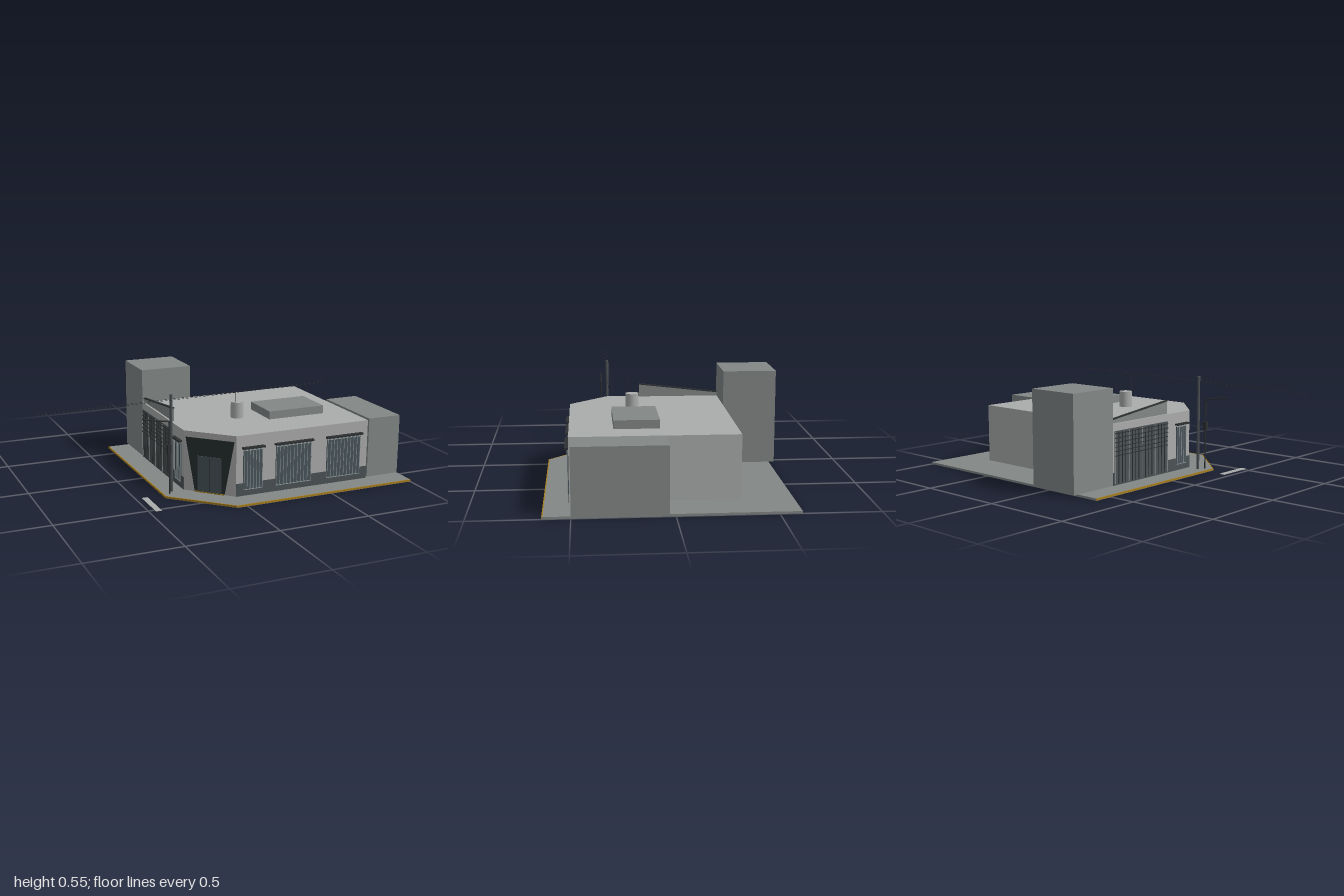
import * as THREE from 'three';

const paint = (name, color, side = THREE.FrontSide) => {
  const m = new THREE.MeshStandardMaterial({ color, side });
  m.name = name;
  return m;
};

export function createModel() {
  const concrete = paint('light concrete', 0xaaacab);
  const grey = paint('mid grey', 0x838887);
  const slate = paint('dark slate', 0x4c5255);
  const glass = paint('window glass', 0x48545a);
  const dark = paint('entrance dark', 0x262e2f, THREE.DoubleSide);
  const metal = paint('dark metal', 0x2e3132);
  const steel = paint('pale steel', 0x929b9d);
  const yellow = paint('curb yellow', 0xa57c1c);

  const model = new THREE.Group();
  model.name = 'cornerBuilding';

  const add = (parent, name, geo, mat, x = 0, y = 0, z = 0) => {
    const mesh = new THREE.Mesh(geo, mat);
    mesh.name = name;
    mesh.position.set(x, y, z);
    parent.add(mesh);
    return mesh;
  };
  // box given by its lower and upper limits on each axis
  const box = (parent, name, mat, x0, x1, y0, y1, z0, z1) =>
    add(parent, name, new THREE.BoxGeometry(x1 - x0, y1 - y0, z1 - z0), mat,
      (x0 + x1) / 2, (y0 + y1) / 2, (z0 + z1) / 2);
  // upright prism over an outline of [x, z] points
  const prism = (name, mat, pts, y0, y1) => {
    const shape = new THREE.Shape(pts.map(([x, z]) => new THREE.Vector2(x, -z)));
    const geo = new THREE.ExtrudeGeometry(shape, { depth: y1 - y0, bevelEnabled: false });
    geo.rotateX(-Math.PI / 2);
    return add(model, name, geo, mat, 0, y0, 0);
  };
  // thin rod between two points
  const rod = (parent, name, mat, a, b, r, sides = 8) => {
    const p = new THREE.Vector3(...a), q = new THREE.Vector3(...b);
    const d = q.clone().sub(p);
    const mesh = add(parent, name, new THREE.CylinderGeometry(r, r, d.length(), sides), mat);
    mesh.position.copy(p).add(q).multiplyScalar(0.5);
    mesh.quaternion.setFromUnitVectors(new THREE.Vector3(0, 1, 0), d.normalize());
    return mesh;
  };
  // group on a wall from a to b: local x runs along it, local z points outward
  const wall = (name, a, b) => {
    const g = new THREE.Group();
    g.name = name;
    g.position.set((a[0] + b[0]) / 2, 0, (a[1] + b[1]) / 2);
    g.rotation.y = Math.atan2(a[1] - b[1], b[0] - a[0]);
    g.userData.half = Math.hypot(b[0] - a[0], b[1] - a[1]) / 2;
    model.add(g);
    return g;
  };

  // pavement with painted street edges
  const walk = [[-0.35, -0.61], [-0.35, 0.36], [-0.06, 0.637], [1, 0.637], [1, -0.61]];
  prism('pavement', grey, walk, 0, 0.012);
  for (let i = 0; i < 3; i++) {
    const g = wall('curbEdge', walk[i], walk[i + 1]);
    const h = g.userData.half;
    box(g, 'curbStripe', yellow, -h, h, 0.002, 0.0122, -0.004, 0.002);
  }

  // main building and neighbouring blocks
  const plan = [[-0.22, -0.345], [-0.22, 0.3], [-0.01, 0.51], [0.787, 0.51], [0.787, -0.345]];
  prism('mainBuilding', concrete, plan, 0.012, 0.345);
  box(model, 'sideBlock', grey, 0.802, 1, 0.012, 0.349, 0.03, 0.5);
  box(model, 'rearTower', grey, -0.22, 0.082, 0.012, 0.536, -0.64, -0.345);

  // roof equipment
  box(model, 'roofUnit', grey, 0.295, 0.632, 0.345, 0.39, 0.05, 0.285);
  add(model, 'roofTank', new THREE.CylinderGeometry(0.036, 0.036, 0.09, 20), concrete, 0.153, 0.39, 0.168);
  rod(model, 'antenna', metal, [0.13, 0.345, 0.19], [0.13, 0.52, 0.19], 0.0012, 6);

  // sloping parapet above the left wall
  const gable = new THREE.Shape([[-0.11, 0.345], [0.345, 0.345], [0.345, 0.364], [-0.11, 0.416]]
    .map(([u, v]) => new THREE.Vector2(u, v)));
  const gableGeo = new THREE.ExtrudeGeometry(gable, { depth: 0.008, bevelEnabled: false });
  gableGeo.rotateY(Math.PI / 2);
  add(model, 'slopingParapet', gableGeo, grey, -0.209, 0, 0);
  const cap = add(model, 'parapetCap', new THREE.BoxGeometry(0.015, 0.006, 0.458), metal, -0.205, 0.393, -0.1175);
  cap.rotation.x = -Math.atan2(0.052, 0.455);

  // barred window with an optional canopy, on a wall group
  const windowUnit = (g, name, x0, x1, y0, y1, bars, canopy = true) => {
    const unit = new THREE.Group();
    unit.name = name;
    g.add(unit);
    box(unit, 'pane', glass, x0, x1, y0, y1, 0, 0.005);
    for (let i = 0; i <= bars; i++) {
      const x = x0 + 0.003 + (x1 - x0 - 0.006) * i / bars;
      box(unit, 'bar', steel, x - 0.001, x + 0.001, y0, y1, 0.005, 0.008);
    }
    for (const y of [y0, y1 - 0.003]) box(unit, 'rail', steel, x0, x1, y, y + 0.003, 0.005, 0.008);
    if (canopy) box(unit, 'canopy', metal, x0 - 0.008, x1 + 0.008, y1 + 0.008, y1 + 0.018, 0, 0.021);
  };

  // front wall
  const front = wall('frontWall', plan[2], plan[3]);
  const fh = front.userData.half;
  box(front, 'skirting', slate, -fh, fh, 0.012, 0.082, 0, 0.003);
  const fx = front.position.x;
  for (const [a, b, n] of [[0.03, 0.143, 6], [0.222, 0.435, 10], [0.532, 0.742, 10]])
    windowUnit(front, 'frontWindow', a - fx, b - fx, 0.045, 0.264, n);

  // left wall with the large gate and a narrow window
  const left = wall('leftWall', plan[0], plan[1]);
  const lh = left.userData.half, lz = left.position.z;
  box(left, 'skirting', slate, -lh, lh, 0.012, 0.082, 0, 0.003);
  box(left, 'gate', slate, -0.335 - lz, 0.1 - lz, 0.014, 0.305, 0, 0.005);
  for (let i = 0; i <= 16; i++) {
    const x = -0.333 - lz + 0.431 * i / 16;
    box(left, 'gateBar', i % 4 ? metal : steel, x - 0.0015, x + 0.0015, 0.02, 0.3, 0.005, 0.008);
  }
  for (let j = 0; j < 6; j++)
    box(left, 'gateSlat', metal, -0.335 - lz, 0.1 - lz, 0.17 + j * 0.024, 0.174 + j * 0.024, 0.005, 0.009);
  windowUnit(left, 'leftWindow', 0.18 - lz, 0.265 - lz, 0.045, 0.264, 4);

  // corner entrance: tapered portal with a door
  const corner = wall('cornerEntrance', plan[1], plan[2]);
  const portal = new THREE.Shape([[-0.085, 0.012], [0.085, 0.012], [0.138, 0.312], [-0.138, 0.312]]
    .map(([u, v]) => new THREE.Vector2(u, v)));
  add(corner, 'portal', new THREE.ExtrudeGeometry(portal, { depth: 0.003, bevelEnabled: false }), dark);
  box(corner, 'door', glass, -0.068, 0.068, 0.016, 0.215, 0.002, 0.006);
  box(corner, 'doorSplit', dark, -0.001, 0.001, 0.016, 0.215, 0.006, 0.007);
  box(corner, 'doorSill', yellow, -0.085, 0.085, 0.012, 0.017, 0.002, 0.008);

  // street lamp, utility pole and overhead wires
  const lamp = new THREE.Group();
  lamp.name = 'streetLamp';
  model.add(lamp);
  rod(lamp, 'lampPost', metal, [-0.315, 0.012, 0.328], [-0.315, 0.412, 0.328], 0.004);
  rod(lamp, 'lampArm', metal, [-0.315, 0.411, 0.328], [-0.46, 0.438, 0.328], 0.004);
  box(lamp, 'signalBox', metal, -0.326, -0.306, 0.235, 0.285, 0.318, 0.338);
  box(model, 'groundPlate', concrete, -0.466, -0.434, 0, 0.003, 0.31, 0.522);
  rod(model, 'utilityPole', slate, [-0.29, 0.012, 0.294], [-0.29, 0.547, 0.294], 0.008, 12);
  for (const z of [0.284, 0.304])
    rod(model, 'overheadWire', metal, [-1, 0.51, z], [0.62, 0.53, z], 0.0008, 5);

  return model;
}
